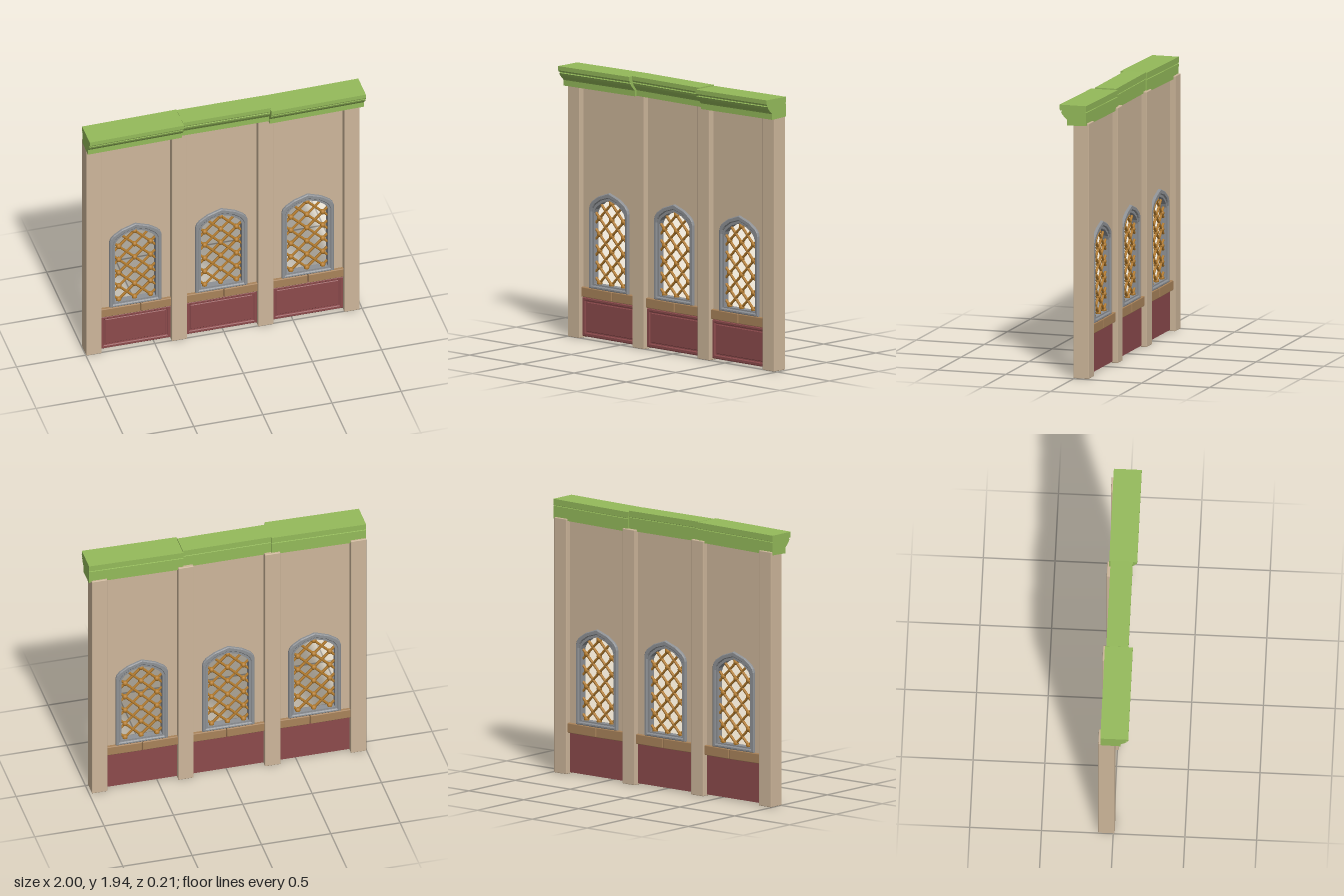
import * as THREE from 'three';
import { RoundedBoxGeometry } from 'three/addons/geometries/RoundedBoxGeometry.js';

const mat = (name, color) => Object.assign(new THREE.MeshStandardMaterial({ color }), { name });

// Half outlines (x, y) of the window, from the bottom corner up to the apex
const OUTER = [[0.188, 0.36], [0.188, 0.93], [0.18, 0.955], [0.16, 0.98], [0.1, 1.02], [0, 1.055]];
const MIDDLE = [[0.162, 0.382], [0.162, 0.905], [0.152, 0.932], [0.132, 0.957], [0.08, 0.993], [0, 1.018]];
const INNER = [[0.148, 0.394], [0.148, 0.895], [0.138, 0.922], [0.12, 0.943], [0.072, 0.977], [0, 1.0]];

const outline = (half) => {
  const left = half.slice(0, -1).reverse().map(([x, y]) => [-x, y]);
  return [...half, ...left].map(([x, y]) => new THREE.Vector2(x, y));
};

const rect = (x, y0, y1) => [[-x, y0], [x, y0], [x, y1], [-x, y1]].map(([a, b]) => new THREE.Vector2(a, b));

// Plate with an optional hole between two depths, with an optional bevel
function plate(points, hole, z0, z1, bevel = 0) {
  const shape = new THREE.Shape(points);
  if (hole) shape.holes.push(new THREE.Path(hole));
  const geo = new THREE.ExtrudeGeometry(shape, {
    depth: z1 - z0 - 2 * bevel, bevelEnabled: bevel > 0, bevelThickness: bevel,
    bevelSize: bevel, bevelOffset: -bevel, bevelSegments: 1,
  });
  return geo.translate(0, 0, z0 + bevel);
}

// Width of the window opening at a height
function openingHalf(y) {
  if (y < INNER[0][1]) return -1;
  for (let i = 1; i < INNER.length; i++) {
    const [x0, y0] = INNER[i - 1], [x1, y1] = INNER[i];
    if (y <= y1) return x0 + (x1 - x0) * (y - y0) / (y1 - y0);
  }
  return -1;
}

export function createModel() {
  const plaster = mat('plaster', 0xcdb69a);
  const green = mat('green cornice', 0x94ba5a);
  const red = mat('red panel', 0x8c4a4c);
  const brown = mat('brown sill', 0xa9835a);
  const grey = mat('grey frame', 0x8e9195);
  const bronze = mat('bronze lattice', 0xb47c2e);

  const model = new THREE.Group();
  model.name = 'wallSection';
  const add = (parent, name, geo, material, x = 0, y = 0, z = 0) => {
    const m = new THREE.Mesh(geo, material);
    m.name = name;
    m.position.set(x, y, z);
    parent.add(m);
    return m;
  };

  // Four pillars
  const pillarX = [-0.942, -0.323, 0.302, 0.925];
  const pillarGeo = new RoundedBoxGeometry(0.112, 1.81, 0.115, 1, 0.005);
  pillarX.forEach((x) => add(model, 'pillar', pillarGeo, plaster, x, 0.905, -0.0475));

  // Diagonal lattice with balls on every other column of crossings
  const wallZ = -0.05, step = 0.0575, topY = 0.976;
  const ballGeo = new THREE.SphereGeometry(0.0195, 10, 8);
  function lattice() {
    const g = new THREE.Group();
    g.name = 'lattice';
    for (const side of [-1, 1]) {
      for (let k = -3; k <= 13; k++) {
        const inside = [];
        for (let x = -0.15; x <= 0.15; x += 0.002) {
          const y = topY - k * 2 * step + side * x;
          if (Math.abs(x) <= openingHalf(y) + 0.004) inside.push([x, y]);
        }
        if (inside.length < 8) continue;
        const [x0, y0] = inside[0], [x1, y1] = inside[inside.length - 1];
        const rod = new THREE.CylinderGeometry(0.0095, 0.0095, Math.hypot(x1 - x0, y1 - y0), 8);
        add(g, 'latticeRod', rod, bronze, (x0 + x1) / 2, (y0 + y1) / 2, wallZ)
          .rotation.z = -side * Math.PI / 4;
      }
    }
    for (let row = 0; row < 6; row++) {
      for (const col of [-2, 0, 2]) {
        const x = col * step, y = topY - row * 2 * step;
        if (Math.abs(x) < openingHalf(y)) add(g, 'latticeBall', ballGeo, bronze, x, y, wallZ);
      }
    }
    return g;
  }

  // Three bays between the pillars; the sill joint sits a little off centre
  const joints = [0.035, 0.015, 0];
  for (let i = 0; i < 3; i++) {
    const bay = new THREE.Group();
    bay.name = 'bay';
    bay.position.x = (pillarX[i] + pillarX[i + 1]) / 2;
    const half = (pillarX[i + 1] - pillarX[i]) / 2 - 0.05;
    model.add(bay);

    // Plaster wall with a window hole
    const windowHole = outline(OUTER).map((p) => new THREE.Vector2(p.x * 0.95, 0.7 + (p.y - 0.7) * 0.97));
    add(bay, 'wall', plate(rect(half, 0.3, 1.82), windowHole, -0.066, -0.034), plaster);

    // Window surround: bevelled outer ring and thinner inner ring
    add(bay, 'windowFrame', plate(outline(OUTER), outline(MIDDLE), -0.085, -0.015, 0.006), grey);
    add(bay, 'windowInnerFrame', plate(outline(MIDDLE).map((p) => p.clone().multiplyScalar(1.004)),
      outline(INNER), -0.074, -0.026), grey);
    bay.add(lattice());

    // Lower panel: flat back, raised border, bevelled field
    add(bay, 'lowerPanel', plate(rect(half, 0.01, 0.3), null, -0.066, -0.036), red);
    add(bay, 'panelBorder', plate(rect(half - 0.004, 0.014, 0.288),
      rect(half - 0.03, 0.04, 0.265), -0.037, -0.02, 0.005), red);
    add(bay, 'panelField', plate(rect(half - 0.038, 0.048, 0.257), null, -0.037, -0.028, 0.004), red);

    // Two sill blocks
    for (const s of [-1, 1]) {
      const end = s * half, near = joints[i] + s * 0.002;
      const block = new RoundedBoxGeometry(Math.abs(end - near), 0.07, 0.078, 1, 0.006);
      add(bay, 'sillBlock', block, brown, (end + near) / 2, 0.326, wallZ).rotation.z = s * 0.008;
    }
  }

  // Cornice profile (z, y) with a cove below and a groove under the top slab
  const cornice = [
    [-0.09, 1.795], [0.05, 1.79], [0.05, 1.83], [0.058, 1.84], [0.072, 1.852], [0.086, 1.868],
    [0.094, 1.885], [0.086, 1.888], [0.086, 1.893], [0.1, 1.895], [0.105, 1.905], [0.105, 1.935],
    [-0.09, 1.935], [-0.09, 1.893], [-0.085, 1.891], [-0.085, 1.888], [-0.09, 1.886],
  ];
  const midY = 1.86;
  for (const [x, width, zScale, zShift, lift, tilt] of [
    [-0.658, 0.682, 1, 0, -0.004, 0.014],
    [0, 0.636, 0.795, -0.0085, 0.002, -0.002],
    [0.658, 0.682, 1, 0, -0.003, 0.014],
  ]) {
    const shape = new THREE.Shape(cornice.map(([z, y]) => new THREE.Vector2(z * zScale + zShift, y - midY)));
    const geo = new THREE.ExtrudeGeometry(shape, { depth: width, bevelEnabled: false });
    geo.translate(0, 0, -width / 2).rotateY(-Math.PI / 2);
    add(model, 'cornice', geo, green, x, midY + lift, 0).rotation.z = tilt;
  }
  return model;
}
